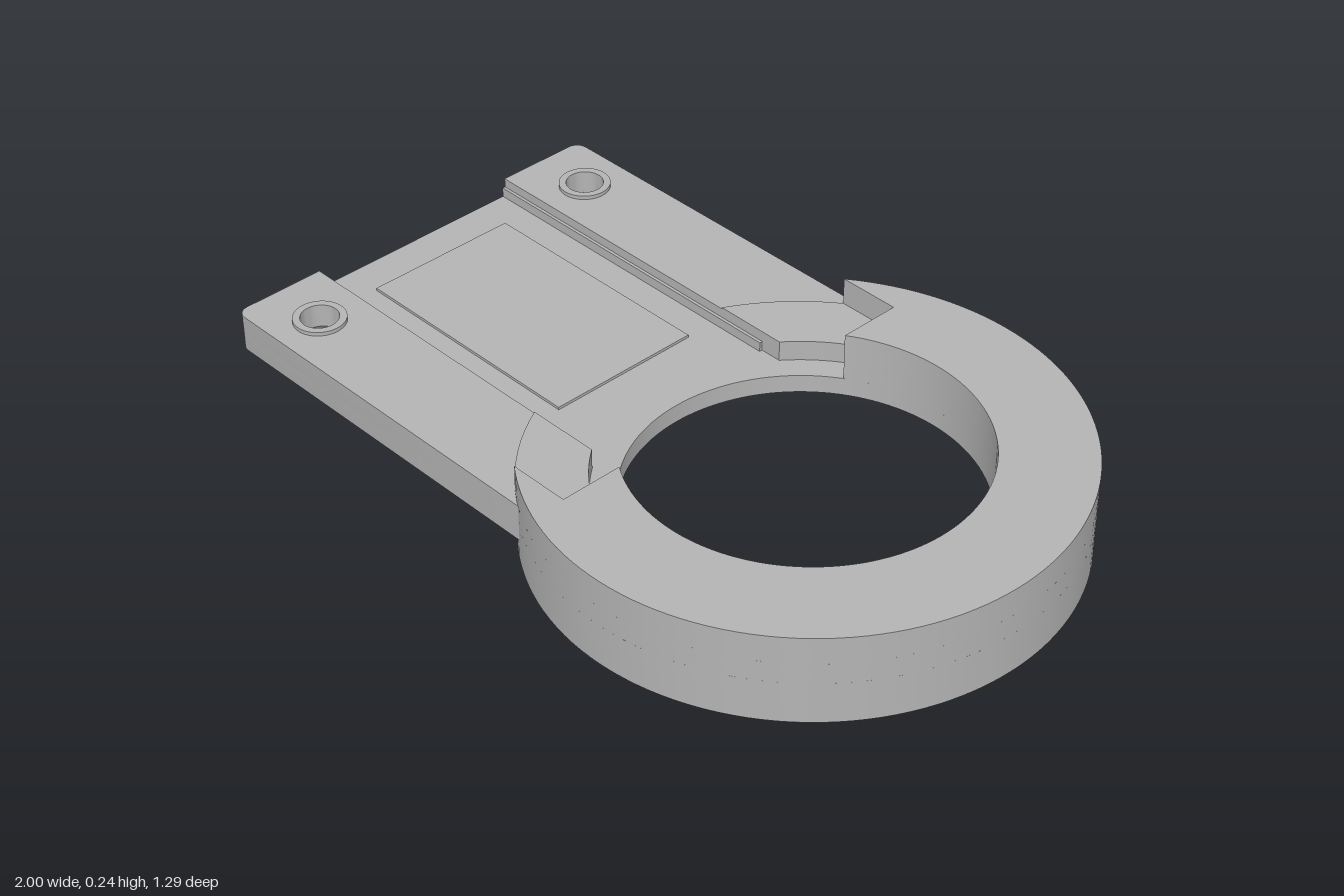
import * as THREE from 'three';
import { toCreasedNormals } from 'three/addons/utils/BufferGeometryUtils.js';

const CX = 0.355;                 // ring centre
const R_OUT = 0.643, R_IN = 0.418, R_POCKET = 0.48;
const NOTCH_X = 0.13, NOTCH_Z = 0.515;
const PLATE_Z = 0.542, CHANNEL_Z = 0.295;
const FLOOR = 0.117, PLATE_BOTTOM = 0.07, PLATE_TOP = 0.166;
const HOLE_X = -0.838, HOLE_Z = 0.42;

const V = (x, y) => new THREE.Vector2(x, y);

// points on a circle about the ring centre
function arc(r, a0, a1, n = 96) {
  return Array.from({ length: n + 1 }, (_, i) => {
    const a = a0 + (a1 - a0) * i / n;
    return V(CX + r * Math.cos(a), r * Math.sin(a));
  });
}
const angleAtX = (r, x) => Math.acos((x - CX) / r);
const angleAtZ = (r, z) => Math.PI - Math.asin(z / r);

// plan outline raised from y0 to y1
function slab(points, y0, y1, holes = []) {
  const shape = new THREE.Shape(points);
  for (const [x, y, r] of holes) {
    shape.holes.push(new THREE.Path().absarc(x, y, r, 0, Math.PI * 2, true));
  }
  const g = new THREE.ExtrudeGeometry(shape, { depth: y1 - y0, bevelEnabled: false, curveSegments: 24 });
  g.rotateX(-Math.PI / 2).translate(0, y0, 0);
  return toCreasedNormals(g, 0.4);
}

function lathe(profile, segments) {
  const g = new THREE.LatheGeometry(profile.map(([r, y]) => V(r, y)), segments);
  return toCreasedNormals(g, 0.4);
}

// rounded corner at the free end of the plate
function corner(sign) {
  const r = 0.03;
  return Array.from({ length: 7 }, (_, i) => {
    const a = Math.PI / 2 * i / 6;
    return V(-1 + r - r * Math.sin(a), sign * (PLATE_Z - r + r * Math.cos(a)));
  });
}

export function createModel() {
  const group = new THREE.Group();
  const grey = new THREE.MeshStandardMaterial({ color: 0xb4b4b4 });
  grey.name = 'grey';
  const add = (name, geometry, x = 0, y = 0, z = 0) => {
    const mesh = new THREE.Mesh(geometry, grey);
    mesh.name = name;
    mesh.position.set(x, y, z);
    group.add(mesh);
  };

  // lower ring with chamfered foot and stepped recess underneath
  add('lowerRing', lathe([
    [0.585, 0], [0.635, 0], [R_OUT, 0.009], [R_OUT, FLOOR], [R_IN, FLOOR],
    [R_IN, 0.07], [0.5, 0.07], [0.5, 0.076], [0.515, 0.076], [0.515, 0.07],
    [0.56, 0.07], [0.56, 0.02], [0.585, 0.02], [0.585, 0],
  ], 128), CX);

  // middle ring, open towards the channel with a wider pocket
  const mOut = angleAtZ(R_OUT, CHANNEL_Z), mPocket = angleAtZ(R_POCKET, CHANNEL_Z);
  const pIn = angleAtX(R_POCKET, NOTCH_X), hIn = angleAtX(R_IN, NOTCH_X);
  add('middleRing', slab([
    ...arc(R_OUT, mOut, -mOut),
    ...arc(R_POCKET, -mPocket, -pIn, 10),
    ...arc(R_IN, -hIn, hIn),
    ...arc(R_POCKET, pIn, mPocket, 10),
  ], FLOOR, 0.17));

  // upper ring with the square-cut notch
  const tOut = angleAtZ(R_OUT, NOTCH_Z);
  add('upperRing', slab([
    ...arc(R_OUT, tOut, -tOut),
    V(NOTCH_X, -NOTCH_Z),
    ...arc(R_IN, -hIn, hIn),
    V(NOTCH_X, NOTCH_Z),
  ], 0.17, 0.24));

  // plate floor, its inner end buried in the ring
  const end = angleAtZ(0.6, PLATE_Z);
  add('plateFloor', slab([
    ...corner(1),
    ...corner(-1).reverse(),
    ...arc(0.6, 2 * Math.PI - end, end, 32),
  ], PLATE_BOTTOM, FLOOR, [[HOLE_X, HOLE_Z, 0.085], [HOLE_X, -HOLE_Z, 0.085]]));

  // slightly raised pad in the channel
  add('channelPad', new THREE.BoxGeometry(0.66, 0.008, 0.41), -0.567, FLOOR + 0.003, 0);

  for (const s of [1, -1]) {
    const side = s > 0 ? 'front' : 'back';
    // rail beside the channel (plan y is -z)
    add(side + 'Rail', slab([
      ...corner(-s),
      V(-1, -s * CHANNEL_Z),
      ...arc(0.6, -s * angleAtZ(0.6, CHANNEL_Z), -s * end, 16),
    ], FLOOR, PLATE_TOP, [[HOLE_X, -s * HOLE_Z, 0.055]]));

    // narrow ledge at the foot of the rail
    add(side + 'Ledge', new THREE.BoxGeometry(0.92, 0.025, 0.01), -0.54, FLOOR + 0.0125, s * 0.292);

    // raised rim and countersunk screw hole
    add(side + 'ScrewHole', lathe([
      [0.085, PLATE_BOTTOM], [0.085, 0.11], [0.065, 0.13], [0.065, 0.176],
      [0.047, 0.176], [0.047, 0.115], [0.085, PLATE_BOTTOM],
    ], 40), HOLE_X, 0, s * HOLE_Z);
  }

  return group;
}
